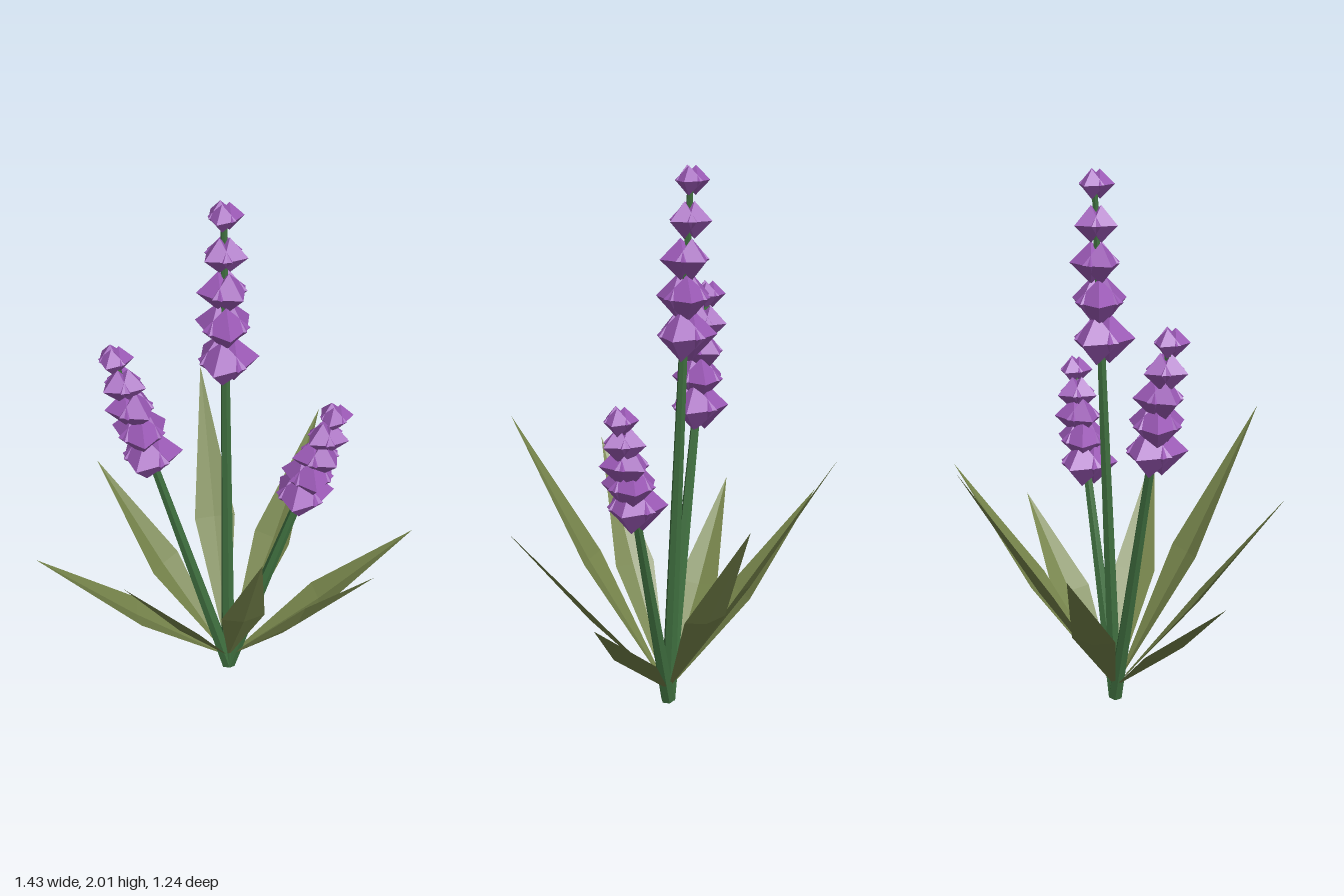
import * as THREE from 'three';

const material = (color, side = THREE.FrontSide) =>
  new THREE.MeshStandardMaterial({ color, side, flatShading: true });

// Folded blade: pointed base and tip, widest near the middle, keel pushed outward
function leafGeometry(reach, height) {
  const base = new THREE.Vector3(0, 0.04, 0);
  const tip = new THREE.Vector3(0, height, reach);
  const mid = base.clone().lerp(tip, 0.485);
  const outward = new THREE.Vector3(0, -reach, height - 0.04).normalize();
  const keel = mid.clone().addScaledVector(outward, 0.018);
  const left = mid.clone().setX(0.08), right = mid.clone().setX(-0.08);
  const corners = [base, keel, left, keel, tip, left, base, right, keel, keel, right, tip];
  const geometry = new THREE.BufferGeometry().setFromPoints(corners);
  geometry.computeVertexNormals();
  return geometry;
}

// Tapered six-sided stem from the ground to a given top point
function makeStem(top, mat) {
  const geometry = new THREE.CylinderGeometry(0.011, 0.028, top.length(), 6);
  geometry.translate(0, top.length() / 2, 0);
  const stem = new THREE.Mesh(geometry, mat);
  stem.quaternion.setFromUnitVectors(new THREE.Vector3(0, 1, 0), top.clone().normalize());
  stem.name = 'stem';
  return stem;
}

export function createModel() {
  const plant = new THREE.Group();
  plant.name = 'floweringPlant';
  const leafMat = material(0x75834a, THREE.DoubleSide);
  const stemMat = material(0x3f6f3f);
  const petalMat = material(0x9b59b6);

  // Rosette of eight leaves, starting at the front and turning toward +x: [reach, tip height]
  const leaves = [
    [0.62, 1.06], [0.62, 0.78], [0.715, 0.59], [0.62, 0.885],
    [0.62, 1.02], [0.62, 0.75], [0.715, 0.66], [0.62, 0.87],
  ];
  leaves.forEach(([reach, height], i) => {
    const leaf = new THREE.Mesh(leafGeometry(reach, height), leafMat);
    leaf.rotation.y = (i * Math.PI) / 4;
    leaf.name = 'leaf';
    plant.add(leaf);
  });

  // Blossom sizes and offsets from the stem, lowest tier first
  const radii = [0.09, 0.083, 0.073, 0.064, 0.05];
  const offsets = [0.03, 0.026, 0.023, 0.02, 0.018];
  const spikes = [
    { name: 'centreSpike', top: [0, 1.95, -0.08], low: 1.415 },
    { name: 'rightSpike', top: [-0.385, 1.485, -0.02], low: 1.08 },
    { name: 'leftSpike', top: [0.373, 1.195, 0.04], low: 0.86 },
  ];
  for (const { name, top, low } of spikes) {
    const spike = new THREE.Group();
    spike.name = name;
    const end = new THREE.Vector3(...top);
    spike.add(makeStem(end, stemMat));

    // Five tiers of three octahedral blossoms around the stem
    radii.forEach((radius, tier) => {
      const y = THREE.MathUtils.lerp(low, end.y, tier / 4);
      const centre = end.clone().multiplyScalar(y / end.y);
      for (let k = 0; k < 3; k++) {
        const angle = (k * 2 * Math.PI) / 3 + (tier * Math.PI) / 6;
        const blossom = new THREE.Mesh(new THREE.OctahedronGeometry(radius), petalMat);
        blossom.position.set(
          centre.x + offsets[tier] * Math.cos(angle), y,
          centre.z - offsets[tier] * Math.sin(angle));
        blossom.rotation.y = angle;
        blossom.name = 'blossom';
        spike.add(blossom);
      }
    });
    plant.add(spike);
  }
  return plant;
}
